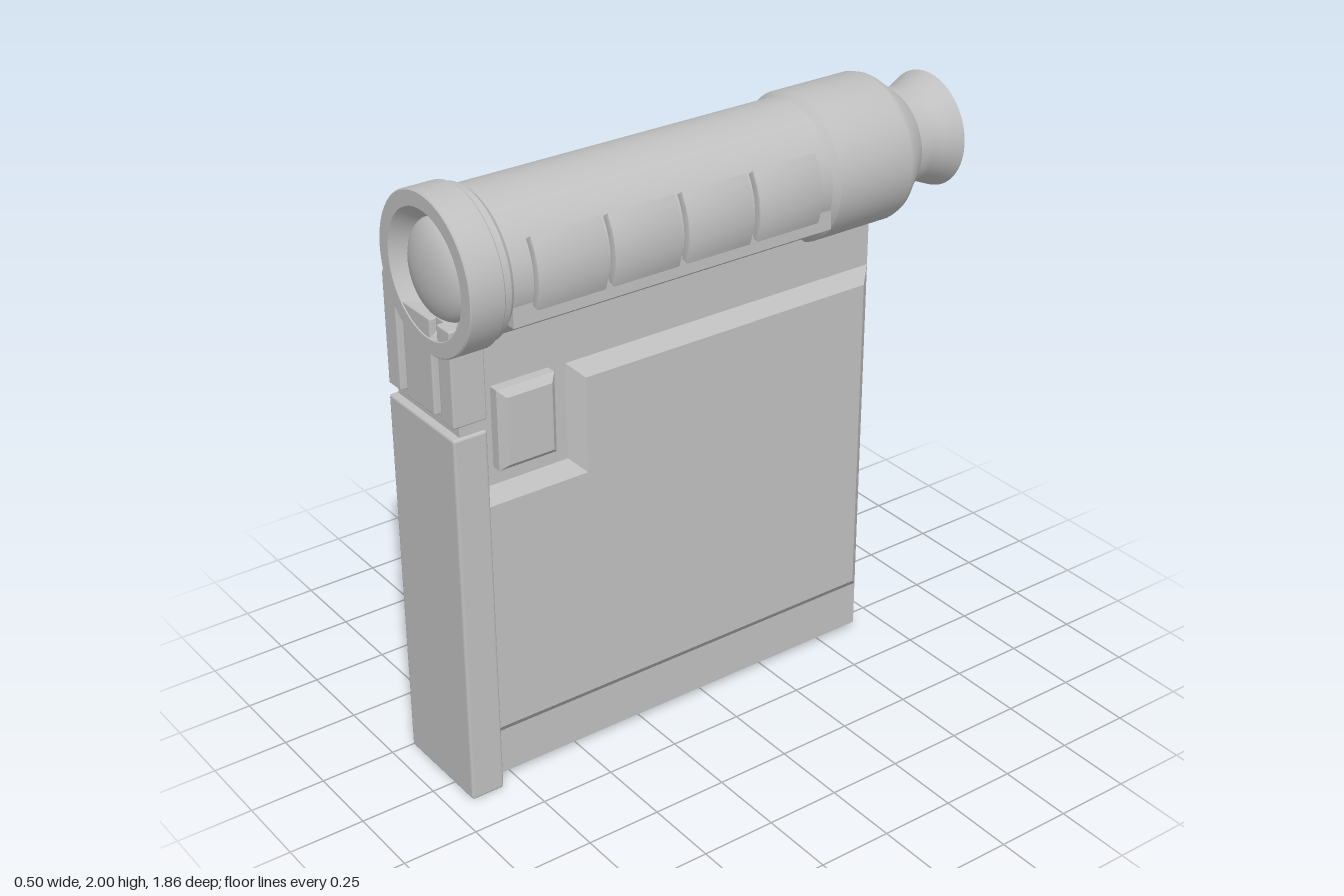
import * as THREE from 'three';
import { toCreasedNormals } from 'three/addons/utils/BufferGeometryUtils.js';
import { RoundedBoxGeometry } from 'three/addons/geometries/RoundedBoxGeometry.js';

const AXIS_Y = 1.755; // height of the viewing tube's axis

export function createModel() {
  const model = new THREE.Group();
  const grey = new THREE.MeshStandardMaterial({ color: 0xbfbfbf });
  grey.name = 'grey';

  function add(name, geometry, parent = model) {
    const mesh = new THREE.Mesh(geometry, grey);
    mesh.name = name;
    parent.add(mesh);
    return mesh;
  }

  // Box given by its limits, with optional rounded edges
  function box(name, x0, x1, y0, y1, z0, z1, r = 0) {
    const size = [x1 - x0, y1 - y0, z1 - z0];
    const g = r ? new RoundedBoxGeometry(...size, 2, r) : new THREE.BoxGeometry(...size);
    g.translate((x0 + x1) / 2, (y0 + y1) / 2, (z0 + z1) / 2);
    return add(name, g);
  }

  // Turned part around the tube axis; points are [radius, z], rear to front
  function turned(name, points) {
    const g = new THREE.LatheGeometry(points.map(p => new THREE.Vector2(...p)), 64);
    g.rotateX(Math.PI / 2).translate(0, AXIS_Y, 0);
    return add(name, toCreasedNormals(g, 0.45));
  }

  // Bevelled plate facing +x; outline points are [z, y]
  function sidePlate(name, outline, x0, x1, bevel, height) {
    const shape = new THREE.Shape(outline.map(([z, y]) => new THREE.Vector2(-z, y)));
    const g = new THREE.ExtrudeGeometry(shape, {
      depth: x1 - x0 - height, bevelEnabled: true, bevelSegments: 1,
      bevelSize: bevel, bevelOffset: -bevel, bevelThickness: height,
    });
    g.rotateY(Math.PI / 2).translate(x0, 0, 0);
    return add(name, g);
  }

  // Domed lens: cap of given radius and rise, facing front (1) or rear (-1)
  function lens(name, radius, rise, z, dir) {
    const pts = [];
    for (let i = 0; i <= 10; i++) {
      const a = (i / 10) * Math.PI * 0.5;
      pts.push([radius * Math.cos(a), z + dir * rise * Math.sin(a)]);
    }
    if (dir < 0) pts.reverse();
    return turned(name, pts);
  }

  // Flat body slab, with a shallow recess in its underside
  box('bodySlab', -0.235, 0.07, 0.06, 1.72, -0.645, 0.82);
  const rim = new THREE.Shape([[-0.235, -0.82], [0.07, -0.82], [0.07, 0.645], [-0.235, 0.645]]
    .map(p => new THREE.Vector2(...p)));
  rim.holes.push(new THREE.Path([[-0.165, -0.7], [-0.165, 0.58], [0, 0.58], [0, -0.7]]
    .map(p => new THREE.Vector2(...p))));
  const rimGeo = new THREE.ExtrudeGeometry(rim, { depth: 0.04, bevelEnabled: false });
  rimGeo.rotateX(-Math.PI / 2).translate(0, 0.02, 0);
  add('bottomRim', rimGeo);

  // Raised side panel, notched around the push button
  sidePlate('sidePanel', [[0.87, 0.18], [-0.645, 0.18], [-0.645, 1.38], [0.51, 1.38],
    [0.51, 1.06], [0.87, 1.06]].reverse(), 0.05, 0.11, 0.045, 0.04);
  sidePlate('buttonBase', [[0.77, 1.12], [0.57, 1.12], [0.57, 1.385], [0.77, 1.385]].reverse(),
    0.05, 0.125, 0.022, 0.022);

  // Front spine: long lower bar, recessed core, three short upper posts
  box('lowerSpine', -0.25, 0.115, 0, 1.275, 0.81, 0.925, 0.01);
  box('spineCore', -0.235, 0.106, 1.2, 1.62, 0.8, 0.9);
  box('rightPost', -0.25, -0.18, 1.31, 1.68, 0.81, 0.922, 0.006);
  box('middlePost', -0.143, 0.01, 1.31, 1.62, 0.85, 0.922, 0.006);
  box('leftPost', 0.046, 0.115, 1.31, 1.62, 0.81, 0.922, 0.006);

  // Viewing tube with a wider rear housing
  turned('tube', [[0.222, -0.4], [0.222, 0.77], [0.235, 0.785], [0.235, 0.82]]);
  turned('rearHousing', [[0.14, -0.77], [0.165, -0.77], [0.232, -0.685], [0.238, -0.665],
    [0.238, -0.385], [0.222, -0.365]]);

  // Front lens ring and lens
  turned('frontRing', [[0.2, 0.81], [0.243, 0.81], [0.247, 0.815], [0.247, 0.921],
    [0.243, 0.925], [0.197, 0.925], [0.155, 0.87], [0.14, 0.87]]);
  lens('frontLens', 0.155, 0.065, 0.865, 1);

  // Flared eyepiece and its lens
  turned('eyepiece', [[0.125, -0.865], [0.15, -0.925], [0.187, -0.928], [0.184, -0.92],
    [0.158, -0.86], [0.154, -0.83], [0.165, -0.76]]);
  lens('eyepieceLens', 0.14, 0.045, -0.865, -1);

  // Flat bed on the tube's side carrying four curved keys
  box('keyBed', 0.1, 0.212, 1.625, 1.8, -0.37, 0.77);
  const keys = new THREE.Group();
  keys.name = 'keys';
  model.add(keys);
  const keyShape = new THREE.Shape();
  const low = -0.33, high = 0.55;
  keyShape.absarc(0, 0, 0.242, low, high, false);
  keyShape.absarc(0, 0, 0.19, high, low, true);
  keyShape.closePath();
  for (let i = 0; i < 4; i++) {
    const g = new THREE.ExtrudeGeometry(keyShape, {
      depth: 0.224, curveSegments: 10, bevelEnabled: true,
      bevelSize: 0.005, bevelThickness: 0.006, bevelSegments: 2,
    });
    g.translate(0, AXIS_Y, 0.474 - i * 0.258);
    add('key', toCreasedNormals(g, 0.5), keys);
  }

  return model;
}
